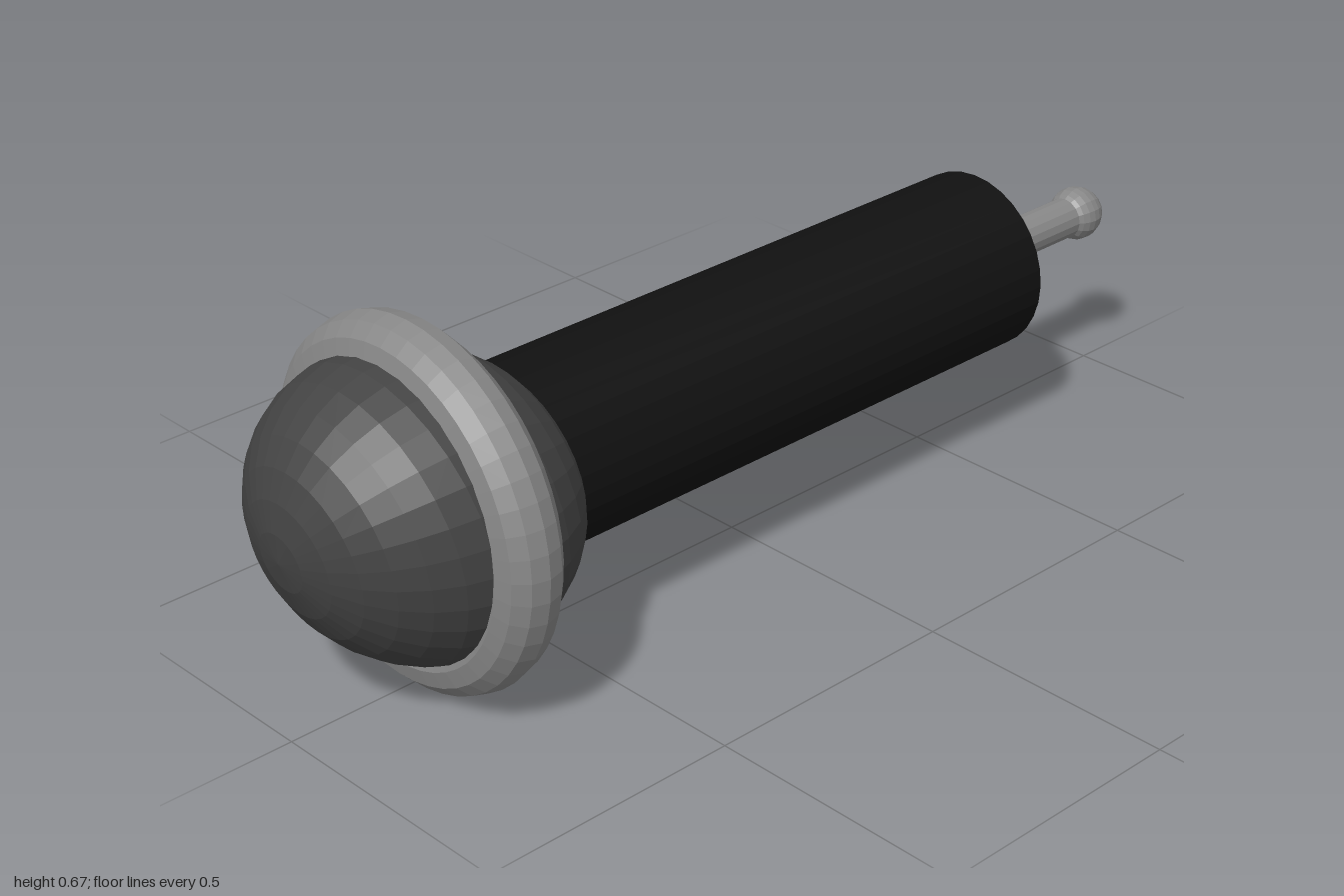
import * as THREE from 'three';

const AXIS_Y = 0.337; // height of the common axis

export function createModel() {
  const group = new THREE.Group();
  const paint = (color) => new THREE.MeshStandardMaterial({ color, flatShading: true });
  const black = paint(0x111111);
  const dark = paint(0x444444);
  const metal = paint(0x888888);

  const add = (name, geometry, material, z) => {
    const mesh = new THREE.Mesh(geometry, material);
    mesh.name = name;
    mesh.position.set(0, AXIS_Y, z);
    group.add(mesh);
  };
  // Cylinder lying along z between two depths
  const rod = (name, radius, z0, z1, sides, material) =>
    add(name, new THREE.CylinderGeometry(radius, radius, z1 - z0, sides).rotateX(Math.PI / 2),
      material, (z0 + z1) / 2);

  // Round head, poles facing front and back, its top leaning slightly forward
  const head = new THREE.SphereGeometry(0.279, 32, 16).rotateX(Math.PI / 2);
  const lean = new THREE.Matrix4().set(
    1, 0, 0, 0,
    0, 1, 0, 0,
    0, 0.13, 1, 0,
    0, 0, 0, 1);
  add('head', head.applyMatrix4(lean), dark, 0.72);

  // Collar around the head
  add('headRing', new THREE.TorusGeometry(0.273, 0.063, 12, 48), metal, 0.72);

  // Handle, end cap, and thin plug with a ball tip
  rod('handle', 0.174, -0.64, 0.65, 32, black);
  rod('endCap', 0.127, -0.677, -0.62, 32, dark);
  rod('plugRod', 0.04, -0.95, -0.66, 16, metal);
  add('plugTip', new THREE.SphereGeometry(0.053, 16, 12).rotateX(Math.PI / 2), metal, -0.947);

  return group;
}
